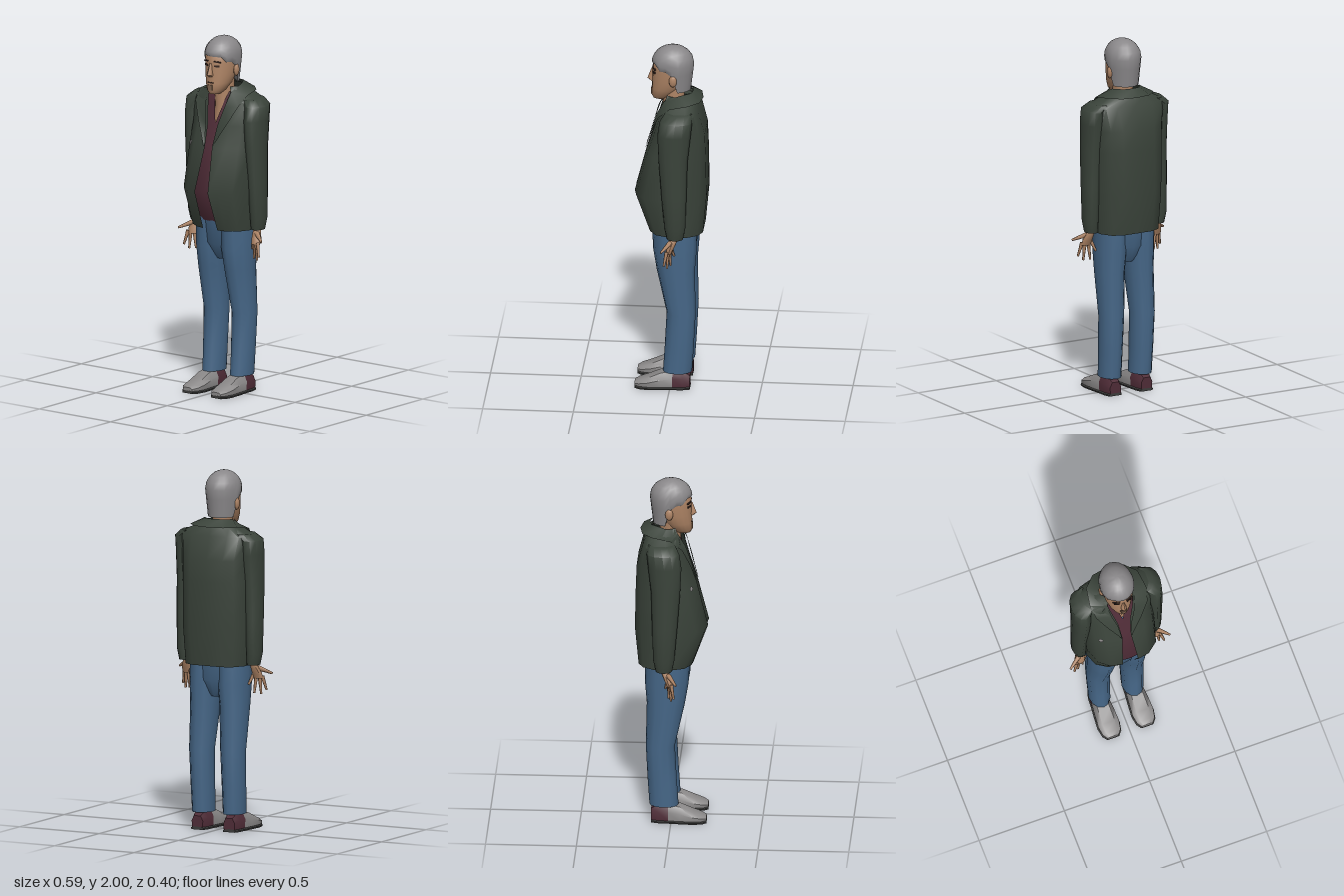
import * as THREE from 'three';
import { toCreasedNormals } from 'three/addons/utils/BufferGeometryUtils.js';

const paint = (name, color, side = THREE.FrontSide) => {
  const m = new THREE.MeshStandardMaterial({ color, side });
  m.name = name;
  return m;
};

// Skin a list of equal-length rings, ordered counter-clockwise around the loft direction.
function loft(rings, { closed = true, caps = closed, crease = 0.9 } = {}) {
  const n = rings[0].length, pos = rings.flat(2), idx = [];
  const cols = closed ? n : n - 1;
  for (let r = 0; r < rings.length - 1; r++) {
    for (let i = 0; i < cols; i++) {
      const j = (i + 1) % n, a = r * n + i, b = r * n + j;
      idx.push(a, b, b + n, a, b + n, a + n);
    }
  }
  if (caps) {
    [0, rings.length - 1].forEach((r) => {
      const c = pos.length / 3;
      for (let k = 0; k < 3; k++) pos.push(rings[r].reduce((s, p) => s + p[k], 0) / n);
      for (let i = 0; i < n; i++) {
        const a = r * n + i, b = r * n + (i + 1) % n;
        if (r === 0) idx.push(c, b, a); else idx.push(c, a, b);
      }
    });
  }
  const g = new THREE.BufferGeometry();
  g.setAttribute('position', new THREE.Float32BufferAttribute(pos, 3));
  g.setIndex(idx);
  return toCreasedNormals(g, crease);
}

// Stack of horizontal ellipses, each given as [y, centreX, centreZ, radiusX, radiusZ].
const stack = (levels, s = 1, n = 12) => loft(levels.map(([y, cx, cz, rx, rz]) =>
  Array.from({ length: n }, (_, i) => {
    const a = (i / n) * Math.PI * 2;
    return [s * cx + rx * Math.sin(a), y, cz + rz * Math.cos(a)];
  })));

// Half outline from front to back, completed with its mirror image.
const mirrored = (half) => [...half, ...half.slice(0, -1).reverse().map(([x, y, z]) => [-x, y, z])];

// Torso outline with an opening of half-width g at the front.
function torsoRing([y, g, zf, sx, zb], inset = 0) {
  zf -= inset; zb += inset; sx -= inset;
  const d = zf - zb;
  return mirrored([[g, y, zf], [Math.max(g, sx * 0.55), y, zf - 0.03 * d], [sx * 0.85, y, zf - 0.15 * d],
    [sx, y, zf - 0.38 * d], [sx, y, zb + 0.3 * d], [sx * 0.8, y, zb + 0.09 * d], [sx * 0.5, y, zb], [0, y, zb]]);
}

function bone(a, b, r1, r2) {
  const p = new THREE.Vector3(...a), q = new THREE.Vector3(...b), dir = q.clone().sub(p);
  const g = new THREE.CylinderGeometry(r2, r1, dir.length(), 6);
  g.applyQuaternion(new THREE.Quaternion().setFromUnitVectors(new THREE.Vector3(0, 1, 0), dir.clone().normalize()));
  const mid = p.add(q).multiplyScalar(0.5);
  return g.translate(mid.x, mid.y, mid.z);
}

// Shoe slice along z: [z, half width, height].
const shoe = (cx, stations, y0, flat) => loft(stations.map(([z, w, h]) => {
  const top = flat || h, m = y0 + (top - y0) * 0.55;
  return [[w * 0.95, y0], [w, m], [w * 0.6, top], [-w * 0.6, top], [-w, m], [-w * 0.95, y0]]
    .map(([x, y]) => [cx + x, y, z]);
}));

export function createModel() {
  const model = new THREE.Group();
  const skin = paint('skin', 0xae8465);
  const hairGrey = paint('hair grey', 0x8a888a);
  const jacketGreen = paint('jacket green', 0x3a433a, THREE.DoubleSide);
  const shirtMaroon = paint('shirt maroon', 0x4f2c37, THREE.DoubleSide);
  const denim = paint('denim', 0x466788);
  const shoeGrey = paint('shoe grey', 0x8c8a8a);
  const soleDark = paint('sole dark', 0x3b3b3a);
  const dark = paint('eye dark', 0x33241f);
  const stubble = paint('stubble', 0x80644f);

  const add = (name, geo, mat, parent = model) => {
    const m = new THREE.Mesh(geo, mat);
    m.name = name;
    parent.add(m);
    return m;
  };

  // Jacket body, open at the front
  const torso = [[0.93, 0.05, 0.12, 0.185, -0.18], [1.15, 0.045, 0.2, 0.2, -0.2], [1.4, 0.025, 0.135, 0.2, -0.195],
    [1.52, 0.035, 0.095, 0.2, -0.19], [1.65, 0.065, 0.055, 0.22, -0.155], [1.695, 0.075, 0.035, 0.13, -0.135],
    [1.725, 0.06, 0.02, 0.085, -0.11]];
  add('jacketBody', loft(torso.map((l) => torsoRing(l)), { closed: false }), jacketGreen);

  // Shirt with a V neck, just inside the jacket
  const shirtGap = [0, 0, 0, 0, 0.035, 0.05, 0.05];
  const shirt = torso.slice(0, 6).map((l, i) => torsoRing([i ? l[0] : 0.97, shirtGap[i], ...l.slice(2)], 0.02));
  add('shirt', loft(shirt, { closed: false }), shirtMaroon);

  // Folded collar and lapels
  const inner = [[0.028, 1.4, 0.14], [0.04, 1.52, 0.107], [0.066, 1.62, 0.078], [0.08, 1.7, 0.035],
    [0.085, 1.735, -0.05], [0.05, 1.74, -0.11], [0, 1.74, -0.12]];
  const outer = [[0.03, 1.4, 0.142], [0.1, 1.53, 0.1], [0.15, 1.63, 0.062], [0.165, 1.685, 0],
    [0.15, 1.7, -0.1], [0.09, 1.7, -0.16], [0, 1.7, -0.175]];
  add('collar', loft([mirrored(outer), mirrored(inner)], { closed: false }), jacketGreen);

  // Small badge on the right breast
  const badge = add('badge', new THREE.CircleGeometry(0.015, 6), shoeGrey);
  badge.position.set(-0.142, 1.4, 0.113);
  badge.lookAt(-0.642, 1.65, 0.913);

  // Hips
  add('hips', stack([[0.75, 0, -0.03, 0.04, 0.07], [0.84, 0, -0.025, 0.165, 0.115], [1.0, 0, -0.02, 0.175, 0.125]]), denim);

  for (const s of [1, -1]) {
    const side = new THREE.Group();
    side.name = s > 0 ? 'leftLimbs' : 'rightLimbs';
    model.add(side);

    add('sleeve', stack([[0.935, 0.212, -0.035, 0.036, 0.045], [1.0, 0.218, -0.035, 0.042, 0.058],
      [1.2, 0.215, -0.03, 0.046, 0.07], [1.4, 0.21, -0.025, 0.051, 0.08], [1.55, 0.206, -0.03, 0.055, 0.092],
      [1.63, 0.204, -0.04, 0.057, 0.09], [1.665, 0.165, -0.05, 0.055, 0.075]], s), jacketGreen, side);

    // Hand with spread fingers
    add('palm', stack([[0.855, 0.222, -0.002, 0.031, 0.017], [0.885, 0.221, -0.01, 0.031, 0.022],
      [0.92, 0.213, -0.025, 0.024, 0.022], [0.96, 0.207, -0.032, 0.02, 0.02]], s, 8), skin, side);
    [[[0.225, 0.915, -0.01], [0.292, 0.882, 0.036]], [[0.244, 0.868, 0.008], [0.263, 0.79, 0.022]],
      [[0.23, 0.865, 0.002], [0.238, 0.768, 0.006]], [[0.213, 0.865, -0.006], [0.203, 0.772, -0.01]],
      [[0.2, 0.875, -0.012], [0.178, 0.82, -0.028]]].forEach(([a, b], i) => {
      const m = ([x, y, z]) => [s * x, y, z];
      add(i ? 'finger' : 'thumb', bone(m(a), m(b), i ? 0.011 : 0.015, 0.006), skin, side);
    });

    add('trouserLeg', stack([[0.1, 0.097, -0.04, 0.06, 0.08], [0.25, 0.098, -0.05, 0.063, 0.08],
      [0.45, 0.098, -0.06, 0.068, 0.08], [0.7, 0.092, -0.03, 0.078, 0.105], [0.82, 0.088, -0.025, 0.086, 0.12],
      [1.0, 0.085, -0.02, 0.088, 0.124]], s), denim, side);

    // Shoe: heel, toe and sole
    const st = [[-0.11, 0.035, 0.08], [-0.07, 0.047, 0.108], [-0.015, 0.05, 0.108], [0.05, 0.056, 0.095],
      [0.12, 0.061, 0.065], [0.17, 0.052, 0.048], [0.195, 0.032, 0.036]];
    add('shoeHeel', shoe(s * 0.1, st.slice(0, 3), 0.018), shirtMaroon, side);
    add('shoeToe', shoe(s * 0.1, st.slice(2), 0.018), shoeGrey, side);
    add('sole', shoe(s * 0.1, st.map(([z, w]) => [z, w + 0.004, 0]), 0.003, 0.02), soleDark, side);
  }

  // Head and neck
  add('neck', stack([[1.5, 0, 0, 0.055, 0.06], [1.62, 0, -0.01, 0.055, 0.055], [1.7, -0.004, -0.01, 0.055, 0.06],
    [1.78, -0.008, -0.01, 0.058, 0.06]]), skin);
  const head = new THREE.Group();
  head.name = 'head';
  head.position.x = -0.008;
  model.add(head);
  add('face', stack([[1.688, 0, 0.062, 0.03, 0.04], [1.71, 0, 0.05, 0.05, 0.064], [1.75, 0, 0.03, 0.069, 0.081],
    [1.8, 0, 0.012, 0.08, 0.097], [1.86, 0, 0, 0.086, 0.107], [1.92, 0, -0.005, 0.087, 0.108],
    [1.97, 0, -0.01, 0.055, 0.07]], 1, 18), skin, head);
  add('nose', stack([[1.787, 0, 0.103, 0.016, 0.016], [1.8, 0, 0.109, 0.018, 0.026], [1.83, 0, 0.106, 0.011, 0.018],
    [1.862, 0, 0.102, 0.007, 0.01]], 1, 6), skin, head);

  // Hair: columns start at a hairline that drops from forehead to nape
  const hairline = (c) => (c > 0.7 ? 1.905 : c > 0.25 ? 1.872 : c > -0.25 ? 1.845 : 1.745);
  const fullness = (y) => (y < 1.9 ? 0.82 + (y - 1.72) : Math.sqrt(Math.max(1e-4, 1 - ((y - 1.9) / 0.1) ** 2)));
  const hair = [0, 0.2, 0.4, 0.6, 0.75, 0.87, 0.95, 0.99, 1].map((t) => Array.from({ length: 20 }, (_, i) => {
    const a = (i / 20) * Math.PI * 2, yb = hairline(Math.cos(a)), y = yb + (2 - yb) * t, f = fullness(y);
    return [0.097 * f * Math.sin(a), y, -0.006 + 0.117 * f * Math.cos(a)];
  }));
  add('hair', loft(hair, { crease: 1.2 }), hairGrey, head);

  // Ears, eyes and brows
  for (const s of [1, -1]) {
    const ear = add('ear', new THREE.SphereGeometry(1, 8, 6), skin, head);
    ear.scale.set(0.013, 0.034, 0.022);
    ear.position.set(s * 0.087, 1.818, -0.012);
    const eye = add('eye', new THREE.BoxGeometry(0.03, 0.01, 0.008), dark, head);
    eye.position.set(s * 0.036, 1.849, 0.096);
    const brow = add('brow', new THREE.BoxGeometry(0.04, 0.007, 0.008), dark, head);
    brow.position.set(s * 0.038, 1.872, 0.096);
    brow.rotation.z = -s * 0.12;
    eye.rotation.y = brow.rotation.y = s * 0.42;
  }

  // Mouth and chin stubble
  add('mouth', new THREE.BoxGeometry(0.04, 0.007, 0.008), dark, head).position.set(0, 1.754, 0.107);
  const chin = add('chinStubble', new THREE.BoxGeometry(0.032, 0.03, 0.008), stubble, head);
  chin.position.set(0, 1.726, 0.111);
  return model;
}
